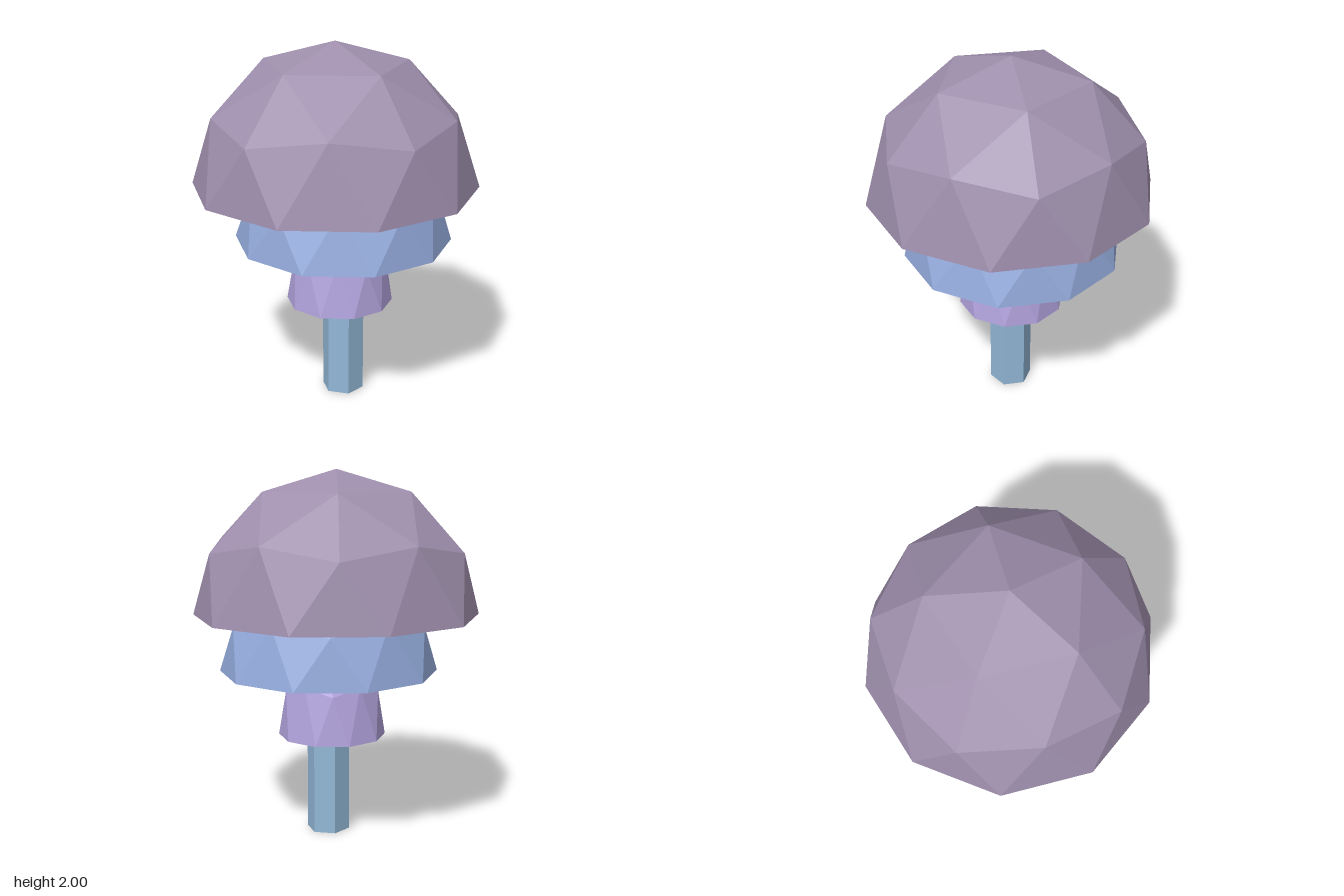
import * as THREE from 'three';

const paint = (name, color) => {
  const m = new THREE.MeshStandardMaterial({ color, side: THREE.DoubleSide });
  m.name = name;
  return m;
};

// Open half of a once-subdivided icosahedron, pole up, rim on y = 0
function domeGeometry() {
  const points = [];
  const at = (polar, turn) => {
    const p = THREE.MathUtils.degToRad(polar);
    const a = THREE.MathUtils.degToRad(turn);
    return [Math.sin(p) * Math.cos(a), Math.cos(p), -Math.sin(p) * Math.sin(a)];
  };
  const tri = (a, b, c) => points.push(...a, ...b, ...c);
  const top = [0, 1, 0];
  for (let k = 0; k < 5; k++) {
    const t = 72 * k;
    const a0 = at(31.717, t), a1 = at(31.717, t + 72);   // ring around the crown
    const u0 = at(63.435, t), u1 = at(63.435, t + 72);   // shoulder corners
    const m = at(58.283, t + 36);                        // between shoulder corners
    const e0 = at(90, t - 18), e1 = at(90, t + 18), e2 = at(90, t + 54); // rim
    tri(top, a0, a1);
    tri(a0, u0, m);
    tri(a0, m, a1);
    tri(a1, m, u1);
    tri(u0, e0, e1);
    tri(u0, e1, m);
    tri(m, e1, e2);
    tri(m, e2, u1);
  }
  const g = new THREE.BufferGeometry();
  g.setAttribute('position', new THREE.Float32BufferAttribute(points, 3));
  return g;
}

export function createModel() {
  const model = new THREE.Group();
  model.name = 'tieredTree';

  const add = (name, geometry, material, x, y, z) => {
    geometry.computeVertexNormals(); // unshared corners give flat facets
    const mesh = new THREE.Mesh(geometry, material);
    mesh.name = name;
    mesh.position.set(x, y, z);
    model.add(mesh);
  };

  const dome = (name, material, radius, height, x, y, z) =>
    add(name, domeGeometry().scale(radius, height, radius), material, x, y, z);

  // Three hollow canopy tiers
  dome('topCanopy', paint('mauve', 0x9f8fad), 0.78, 0.78, 0, 1.22, 0);
  dome('middleCanopy', paint('blue', 0x94abdc), 0.597, 0.597, 0.045, 0.91, 0);
  dome('lowerCanopy', paint('lilac', 0xb3a4de), 0.295, 0.585, 0.025, 0.548, 0.004);

  // Six-sided trunk running up into the lowest tier
  const trunkHeight = 1;
  const trunk = new THREE.CylinderGeometry(0.118, 0.118, trunkHeight, 6).toNonIndexed();
  add('trunk', trunk, paint('steelBlue', 0x92b7d6), 0.044, trunkHeight / 2, 0.012);

  return model;
}
